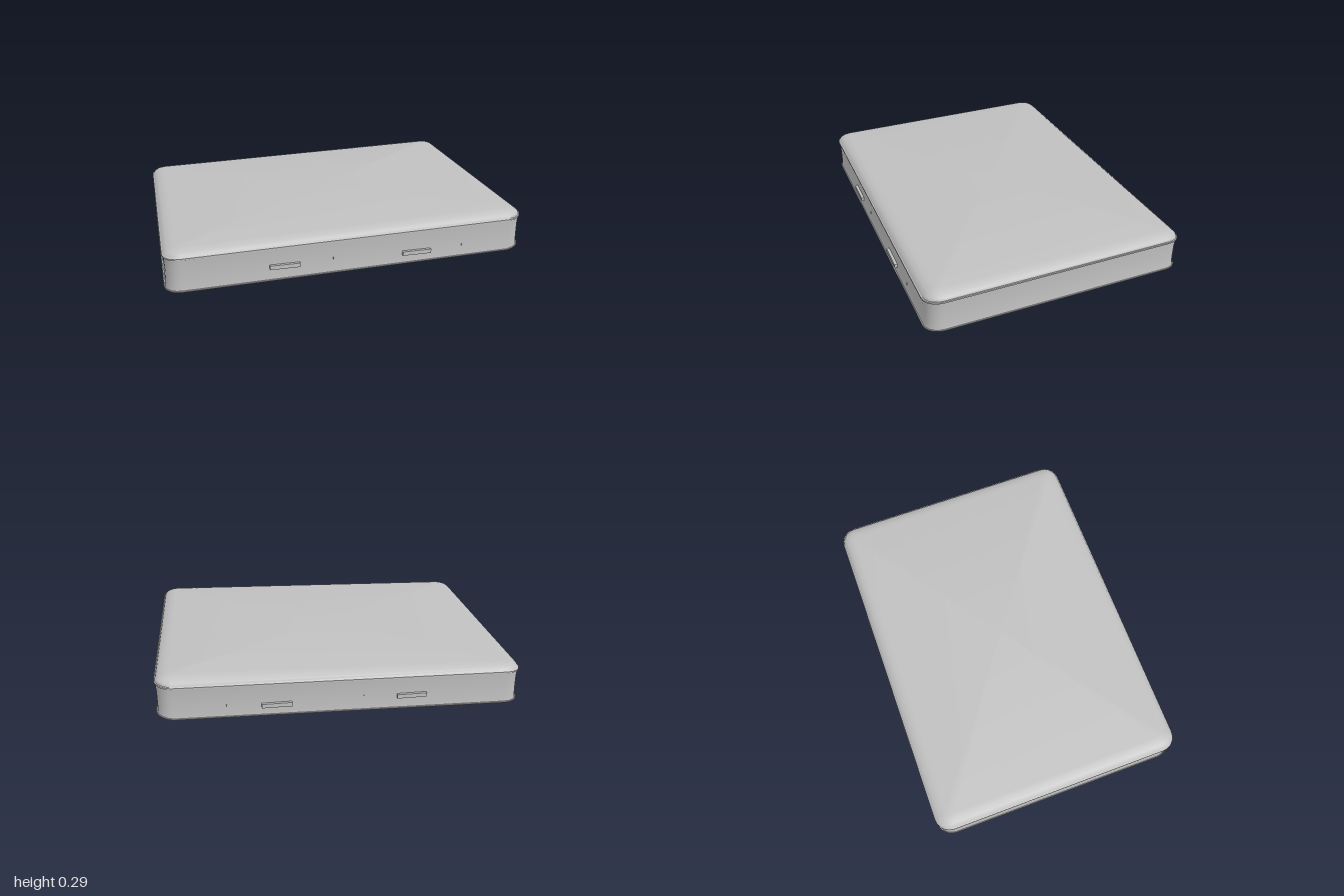
import * as THREE from 'three';
import { toCreasedNormals } from 'three/addons/utils/BufferGeometryUtils.js';

const HALF_X = 0.997, HALF_Z = 0.733, RADIUS = 0.09, ARC = 5;

// Rounded rectangle, running from +x towards +z
function outline(inset) {
  const pts = [], r = Math.max(RADIUS - inset, 0.03);
  const cx = HALF_X - inset - r, cz = HALF_Z - inset - r;
  [[1, 1], [-1, 1], [-1, -1], [1, -1]].forEach(([sx, sz], q) => {
    for (let i = 0; i <= ARC; i++) {
      const a = (q + i / ARC) * Math.PI / 2;
      pts.push([sx * cx + r * Math.cos(a), sz * cz + r * Math.sin(a)]);
    }
  });
  return pts;
}

// Lofts levels [inset, height at left end, height at right end, upturn] from bottom to top.
// The slab is wedge-like: each level climbs along x, with a small upturn at the high end.
function loft(levels) {
  const rings = levels.map(([inset, y0, y1, lift = 0]) => outline(inset).map(([x, z]) =>
    [x, y0 + (y1 - y0) * (x + 1) / 2 + lift * Math.max(0, (x - 0.9) / 0.1), z]));
  const centre = ([, y0, y1]) => [0, (y0 + y1) / 2, 0];
  const n = rings[0].length, pos = [];
  const bottom = centre(levels[0]), top = centre(levels[levels.length - 1]);
  const last = rings[rings.length - 1];
  for (let j = 0; j < n; j++) {
    const k = (j + 1) % n;
    pos.push(...bottom, ...rings[0][j], ...rings[0][k]);
    pos.push(...top, ...last[k], ...last[j]);
    for (let i = 0; i < rings.length - 1; i++) {
      const a = rings[i][j], b = rings[i][k], c = rings[i + 1][j], d = rings[i + 1][k];
      pos.push(...a, ...c, ...b, ...b, ...c, ...d);
    }
  }
  const geo = new THREE.BufferGeometry();
  geo.setAttribute('position', new THREE.Float32BufferAttribute(pos, 3));
  return toCreasedNormals(geo, 0.5);
}

export function createModel() {
  const group = new THREE.Group();
  const grey = new THREE.MeshStandardMaterial({ color: 0xc0c0c0 });
  grey.name = 'light grey';

  const add = (name, geo, x = 0, y = 0, z = 0) => {
    const mesh = new THREE.Mesh(geo, grey);
    mesh.name = name;
    mesh.position.set(x, y, z);
    group.add(mesh);
    return mesh;
  };

  // Base tray with a narrow lip
  add('baseTray', loft([
    [0.025, 0, 0.046, 0.008],
    [0.006, 0.006, 0.052, 0.012],
    [0, 0.012, 0.054, 0.014],
    [0, 0.017, 0.059, 0.014],
  ]));

  // Side wall, slightly drawn in between the lips
  add('sideWall', loft([
    [0.005, 0.014, 0.056, 0.014],
    [0.009, 0.06, 0.1, 0.013],
    [0.009, 0.145, 0.185, 0.013],
    [0.005, 0.194, 0.234, 0.012],
  ]));

  // Lid with a lip, a seam step and a rounded shoulder
  add('lid', loft([
    [0, 0.191, 0.231, 0.012],
    [0, 0.199, 0.239, 0.012],
    [0.006, 0.203, 0.243, 0.01],
    [0.012, 0.213, 0.257, 0.008],
    [0.03, 0.224, 0.274, 0.004],
    [0.055, 0.231, 0.285],
    [0.08, 0.234, 0.29],
  ]));

  // Latches and small pins on both long sides
  for (const side of [1, -1]) {
    for (const x of [-0.37, 0.363]) {
      add('latch', new THREE.BoxGeometry(0.162, 0.023, 0.024), x, 0.101, side * 0.728);
      add('pin', new THREE.BoxGeometry(0.004, 0.012, 0.012), x + 0.265, 0.113, side * 0.724);
    }
  }
  return group;
}
